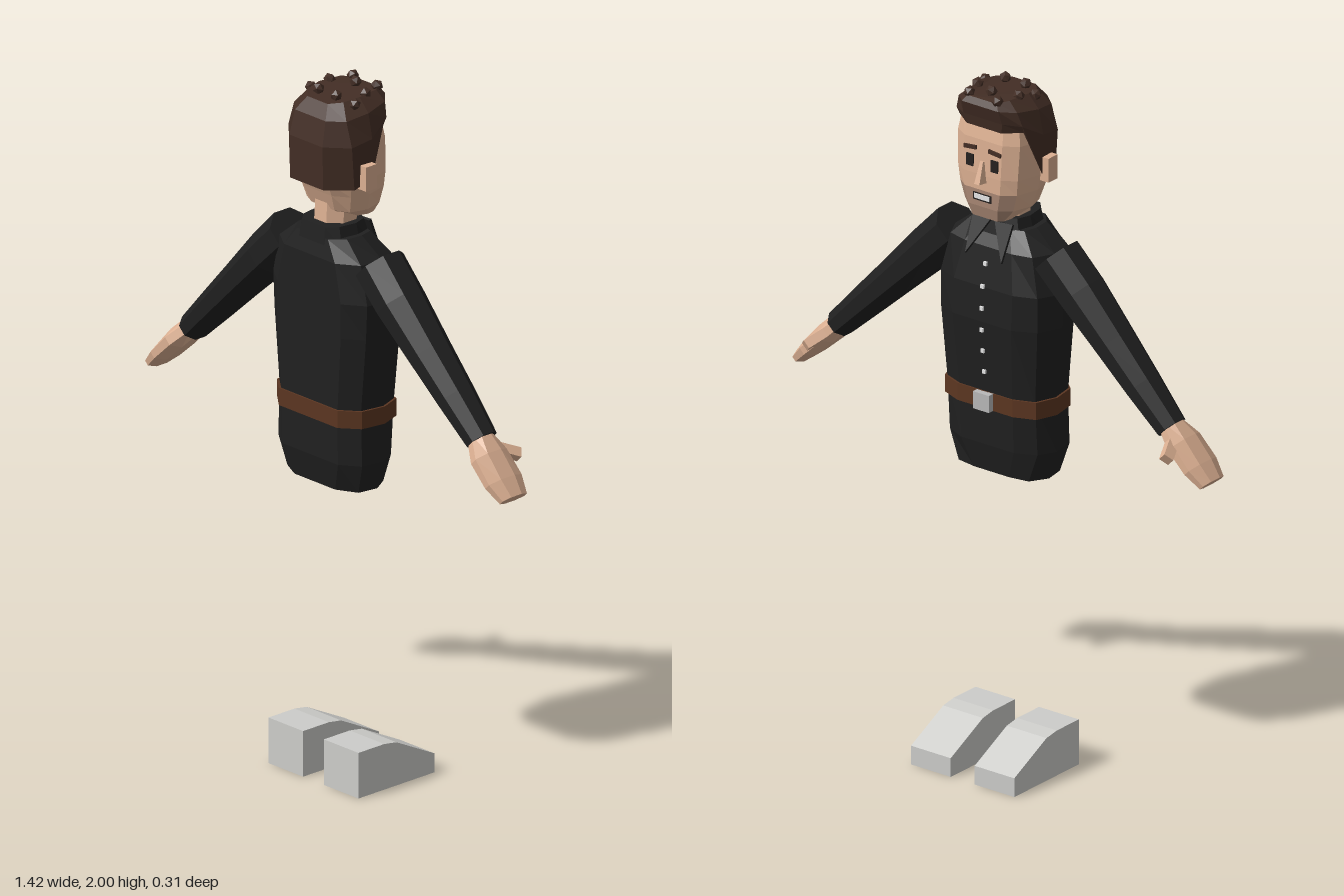
import * as THREE from 'three';

const mat = (name, color) => Object.assign(new THREE.MeshStandardMaterial({ color }), { name });

// Skin over stacked closed rings (bottom to top), flat shaded.
// Each ring is half a cross-section [x, z, y?] from front to back, mirrored in x.
// paint(segment, side) picks a material index for each facet.
function loft(rings, { bottom = true, top = true, paint = null } = {}) {
  const loops = rings.map(([y, half]) => {
    const right = half.map(([x, z, py = y]) => [x, py, z]);
    return [...right, ...right.map(([x, py, z]) => [-x, py, z]).reverse()];
  });
  const n = loops[0].length, pos = [], geo = new THREE.BufferGeometry();
  const tri = (a, b, c) => pos.push(...a, ...b, ...c);
  for (let s = 0; s + 1 < loops.length; s++) {
    for (let i = 0; i < n; i++) {
      const j = (i + 1) % n, a = loops[s], b = loops[s + 1], start = pos.length / 3;
      tri(a[i], b[i], b[j]);
      tri(a[i], b[j], a[j]);
      if (paint) geo.addGroup(start, 6, paint(s, i));
    }
  }
  const capStart = pos.length / 3, lo = loops[0], hi = loops[loops.length - 1];
  for (let k = 1; k + 1 < n; k++) {
    if (bottom) tri(lo[0], lo[k], lo[k + 1]);
    if (top) tri(hi[0], hi[k + 1], hi[k]);
  }
  if (paint) geo.addGroup(capStart, pos.length / 3 - capStart, 0);
  geo.setAttribute('position', new THREE.Float32BufferAttribute(pos, 3));
  geo.computeVertexNormals();
  return geo;
}

// Eight-sided ring for limbs
const oct = (y, rx, rz, zc) => [y, [
  [rx * 0.42, zc - rz], [rx, zc - rz * 0.42], [rx, zc + rz * 0.42], [rx * 0.42, zc + rz]]];

export function createModel() {
  const skin = mat('skin', 0xdcb092), stubble = mat('stubble', 0xad8b77);
  const hairMat = mat('hair', 0x432e25), shirt = mat('shirt', 0x202020);
  const leather = mat('belt leather', 0x5c3621), grey = mat('shoe grey', 0xcdcdca);
  const metal = mat('buckle metal', 0xb8b8b8), white = mat('white', 0xf0f0f0);
  const dark = mat('eye dark', 0x25211f);

  const model = new THREE.Group();
  model.name = 'figure';
  const add = (name, geo, material, parent = model, x = 0, y = 0, z = 0) => {
    const m = new THREE.Mesh(geo, material);
    m.name = name;
    m.position.set(x, y, z);
    parent.add(m);
    return m;
  };
  const box = (w, h, d) => new THREE.BoxGeometry(w, h, d);

  // Torso
  const waist = [[0.09, -0.053], [0.15, -0.03], [0.172, 0.03], [0.16, 0.1], [0.11, 0.14]];
  add('torso', loft([
    [0.865, [[0.06, -0.03], [0.12, -0.02], [0.15, 0.03], [0.14, 0.09], [0.08, 0.12]]],
    [0.95, [[0.09, -0.048], [0.15, -0.02], [0.177, 0.03], [0.165, 0.1], [0.11, 0.138]]],
    [1.10, waist],
    [1.32, [[0.1, -0.072], [0.165, -0.04], [0.195, 0.03], [0.18, 0.1], [0.125, 0.142]]],
    [1.42, [[0.1, -0.066], [0.165, -0.04], [0.2, 0.03], [0.185, 0.1], [0.125, 0.142]]],
    [1.53, [[0.08, -0.045], [0.14, -0.03], [0.17, 0.03], [0.16, 0.1], [0.1, 0.14]]],
    [1.585, [[0.05, -0.015], [0.09, 0], [0.1, 0.04], [0.095, 0.09], [0.06, 0.128]]],
  ]), shirt);

  // Belt and buckle
  const beltRing = waist.map(([x, z]) => [x * 1.03 + 0.002, 0.045 + (z - 0.045) * 1.05]);
  add('belt', loft([[1.06, beltRing], [1.11, beltRing]]), leather);
  add('buckle', box(0.055, 0.05, 0.02), metal, model, 0, 1.085, -0.066);

  // Shirt buttons, following the chest
  for (let i = 0; i < 6; i++) {
    const y = 1.17 + i * 0.063;
    const z = y < 1.32 ? -0.053 - (y - 1.1) * 0.086 : y < 1.42 ? -0.072 + (y - 1.32) * 0.06 : -0.066 + (y - 1.42) * 0.19;
    add('button', box(0.011, 0.011, 0.008), white, model, 0, y, z - 0.002);
  }

  // Collar band and two pointed flaps
  add('collar', loft([
    [1.56, [[0.045, -0.028], [0.08, -0.01], [0.092, 0.04], [0.085, 0.1], [0.05, 0.133]]],
    [1.615, [[0.035, -0.015], [0.065, 0], [0.078, 0.04], [0.07, 0.095], [0.045, 0.125]]],
  ]), shirt);
  for (const s of [1, -1]) {
    const flap = new THREE.Shape([[0.008, 0.04], [0.068, 0.045], [0.062, -0.065]].map(([x, y]) => new THREE.Vector2(s * x, y)));
    const m = add('collarFlap', new THREE.ExtrudeGeometry(flap, { depth: 0.008, bevelEnabled: false }), shirt, model, 0, 1.565, -0.042);
    m.rotation.x = 0.4;
  }

  // Arms: sleeve, hand and thumb along a slanted axis
  for (const s of [1, -1]) {
    const arm = new THREE.Group();
    arm.name = s > 0 ? 'leftArm' : 'rightArm';
    arm.position.set(s * 0.169, 1.521, 0);
    arm.rotation.z = s * 0.79;
    model.add(arm);
    add('sleeve', loft([
      oct(-0.56, 0.037, 0.045, 0.035), oct(-0.42, 0.045, 0.055, 0.037), oct(-0.28, 0.052, 0.062, 0.04),
      oct(-0.12, 0.062, 0.07, 0.042), oct(0, 0.065, 0.07, 0.04)]), shirt, arm);
    add('hand', loft([
      oct(-0.745, 0.018, 0.045, 0.042), oct(-0.69, 0.025, 0.06, 0.042),
      oct(-0.61, 0.03, 0.058, 0.042), oct(-0.54, 0.029, 0.032, 0.036)]), skin, arm);
    add('thumb', box(0.026, 0.03, 0.085), skin, arm, 0, -0.61, -0.018).rotation.x = -0.55;
  }

  // Neck and head, with stubble on the front of the jaw
  const head = new THREE.Group();
  head.name = 'head';
  model.add(head);
  add('neck', loft([oct(1.57, 0.058, 0.058, 0.045), oct(1.7, 0.055, 0.055, 0.04)]), skin, head);
  add('face', loft([
    [1.62, [[0.042, -0.058], [0.055, -0.045], [0.06, -0.02], [0.05, 0.01], [0.03, 0.03]]],
    [1.655, [[0.05, -0.067], [0.083, -0.04], [0.1, 0.02], [0.085, 0.07], [0.045, 0.09]]],
    [1.705, [[0.06, -0.07], [0.097, -0.043], [0.115, 0.025], [0.1, 0.08], [0.055, 0.11]]],
    [1.75, [[0.063, -0.07], [0.102, -0.045], [0.121, 0.03], [0.112, 0.09], [0.06, 0.13]]],
    [1.85, [[0.065, -0.065], [0.106, -0.04], [0.122, 0.03], [0.115, 0.1], [0.06, 0.14]]],
    [1.92, [[0.06, -0.05], [0.095, -0.03], [0.11, 0.03], [0.1, 0.09], [0.05, 0.125]]],
  ], { paint: (seg, side) => (seg < 2 && [0, 8, 9].includes(side) ? 1 : 0) }), [skin, stubble], head);
  add('nose', loft([
    [1.73, [[0.009, -0.094], [0.017, -0.06]]],
    [1.79, [[0.005, -0.073], [0.008, -0.06]]]]), skin, head);
  add('lips', box(0.062, 0.022, 0.006), dark, head, 0, 1.684, -0.068);
  add('teeth', box(0.052, 0.014, 0.008), white, head, 0, 1.685, -0.069);
  for (const s of [1, -1]) {
    add('eye', box(0.024, 0.034, 0.008), dark, head, s * 0.042, 1.785, -0.068);
    add('eyebrow', box(0.042, 0.011, 0.009), hairMat, head, s * 0.042, 1.823, -0.067).rotation.z = -s * 0.1;
    add('ear', box(0.032, 0.07, 0.04), skin, head, s * 0.132, 1.768, 0.05);
  }

  // Hair cap from the hairline to the crown
  add('hair', loft([
    [1.73, [[0.06, -0.062, 1.885], [0.11, -0.03, 1.89], [0.127, 0.028, 1.755], [0.124, 0.09, 1.735], [0.065, 0.15, 1.735]]],
    [1.86, [[0.066, -0.068, 1.915], [0.113, -0.038, 1.91], [0.13, 0.03, 1.87], [0.125, 0.1, 1.86], [0.065, 0.153, 1.86]]],
    [1.94, [[0.062, -0.08, 1.955], [0.1, -0.045, 1.95], [0.115, 0.03, 1.94], [0.103, 0.1, 1.93], [0.06, 0.137, 1.93]]],
    [1.97, [[0.05, -0.07, 1.972], [0.07, -0.04, 1.977], [0.08, 0.03, 1.977], [0.07, 0.08, 1.972], [0.04, 0.11, 1.967]]],
  ], { bottom: false }), hairMat, head);

  // Small curls on the crown
  const curls = [[0, -0.03, 1.983], [-0.048, -0.065, 1.978], [0.052, -0.06, 1.978], [-0.07, 0, 1.978],
    [0.07, 0, 1.978], [-0.085, 0.055, 1.967], [-0.037, 0.072, 1.98], [0.033, 0.072, 1.98], [0.088, 0.055, 1.965]];
  curls.forEach(([x, z, y], i) => {
    add('curl', new THREE.IcosahedronGeometry(0.017, 0), hairMat, head, x, y, z).rotation.set(i, i * 2, 0);
  });

  // Wedge-toed shoes
  const side = new THREE.Shape([[-0.125, 0], [0.155, 0], [0.155, 0.055], [0.015, 0.125], [-0.03, 0.132], [-0.125, 0.132]]
    .map(([u, v]) => new THREE.Vector2(u, v)));
  const shoeGeo = new THREE.ExtrudeGeometry(side, { depth: 0.136, bevelEnabled: false }).rotateY(Math.PI / 2);
  for (const x of [0.041, -0.177]) add(x > 0 ? 'leftShoe' : 'rightShoe', shoeGeo, grey, model, x);

  return model;
}
